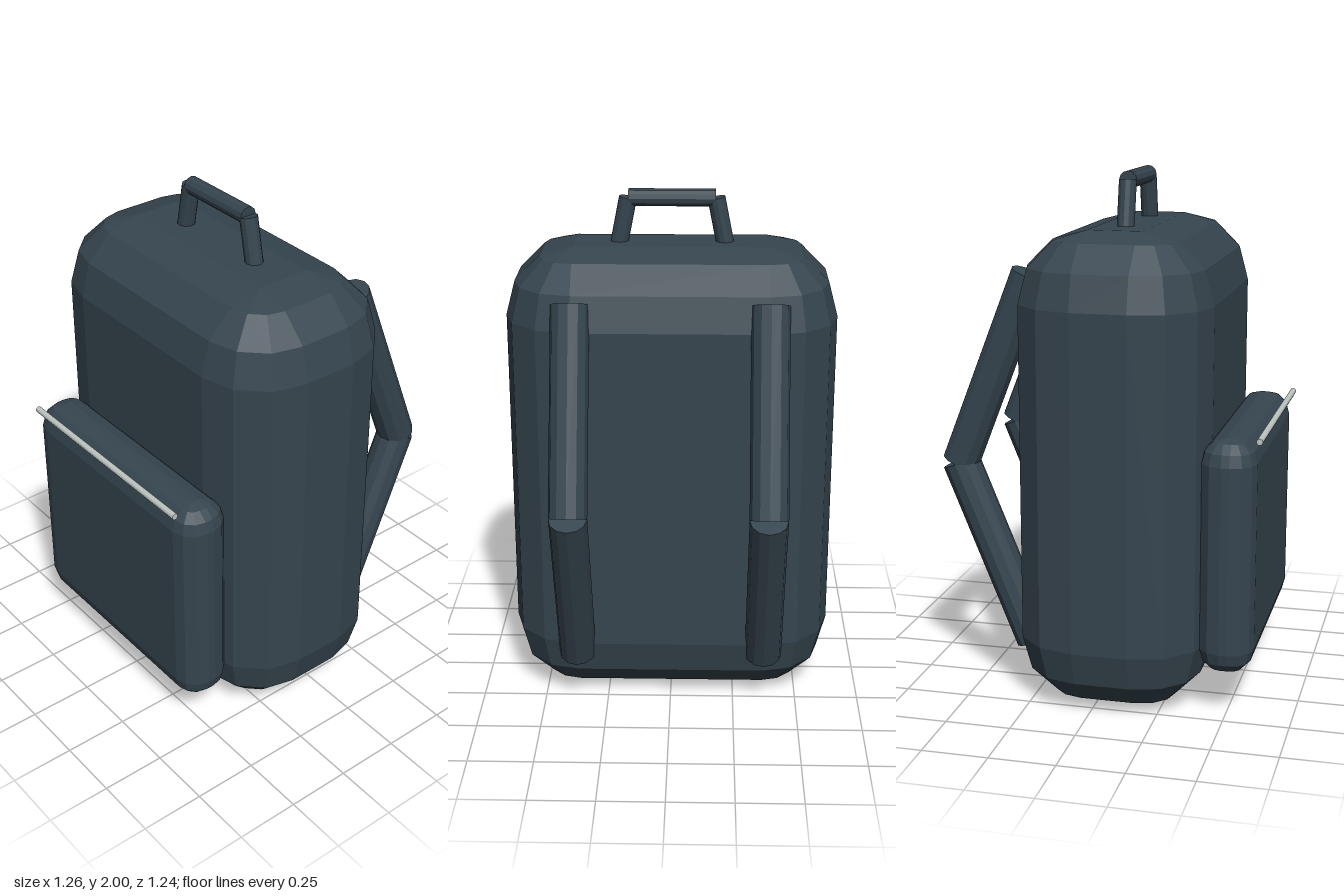
import * as THREE from 'three';
import { ConvexGeometry } from 'three/addons/geometries/ConvexGeometry.js';

// Box with faceted round corners: hull of an eighth of a sphere at each corner
function roundedBox(w, h, d, r, steps) {
  const points = [];
  for (const sx of [-1, 1]) for (const sy of [-1, 1]) for (const sz of [-1, 1]) {
    for (let i = 0; i <= steps; i++) {
      const lat = (i / steps) * Math.PI / 2;
      const last = i === steps ? 0 : steps;
      for (let j = 0; j <= last; j++) {
        const lon = (j / steps) * Math.PI / 2;
        points.push(new THREE.Vector3(
          sx * (w / 2 - r + r * Math.cos(lat) * Math.cos(lon)),
          sy * (h / 2 - r + r * Math.sin(lat)),
          sz * (d / 2 - r + r * Math.cos(lat) * Math.sin(lon))
        ));
      }
    }
  }
  return new ConvexGeometry(points);
}

// Straight round bar between two points
function bar(name, from, to, radius, sides, material) {
  const a = new THREE.Vector3(...from);
  const b = new THREE.Vector3(...to);
  const mesh = new THREE.Mesh(new THREE.CylinderGeometry(radius, radius, a.distanceTo(b), sides), material);
  mesh.name = name;
  mesh.position.copy(a).add(b).multiplyScalar(0.5);
  mesh.quaternion.setFromUnitVectors(new THREE.Vector3(0, 1, 0), b.sub(a).normalize());
  return mesh;
}

export function createModel() {
  const fabric = new THREE.MeshStandardMaterial({ name: 'charcoal fabric', color: 0x36454f });
  const metal = new THREE.MeshStandardMaterial({ name: 'zipper metal', color: 0xc0c8c4 });
  fabric.flatShading = true;

  const model = new THREE.Group();
  model.name = 'backpack';

  // Main bag
  const body = new THREE.Mesh(roundedBox(1.26, 1.8, 0.735, 0.263, 3), fabric);
  body.name = 'body';
  body.position.set(0, 0.9, 0.057);
  model.add(body);

  // Front pocket and its zipper
  const pocket = new THREE.Mesh(roundedBox(1.01, 0.895, 0.21, 0.09, 3), fabric);
  pocket.name = 'frontPocket';
  pocket.position.set(0, 0.618, 0.495);
  model.add(pocket);
  model.add(bar('zipper', [-0.447, 1.066, 0.61], [0.447, 1.066, 0.61], 0.0125, 8, metal));

  // Carry handle
  const handle = new THREE.Group();
  handle.name = 'handle';
  const hz = 0.055;
  handle.add(bar('handleGrip', [-0.165, 1.966, hz], [0.165, 1.966, hz], 0.034, 12, fabric));
  for (const s of [-1, 1]) {
    handle.add(bar('handlePost', [s * 0.204, 1.78, hz], [s * 0.167, 1.966, hz], 0.034, 12, fabric));
  }
  model.add(handle);

  // Shoulder straps, each of two bars meeting in a bend
  for (const [side, s] of [['left', 1], ['right', -1]]) {
    const strap = new THREE.Group();
    strap.name = side + 'Strap';
    const x = s * 0.368;
    strap.add(bar('upperStrap', [x, 1.634, -0.267], [x, 0.905, -0.552], 0.072, 12, fabric));
    strap.add(bar('lowerStrap', [x, 0.905, -0.552], [x, 0.208, -0.267], 0.072, 12, fabric));
    model.add(strap);
  }

  return model;
}
